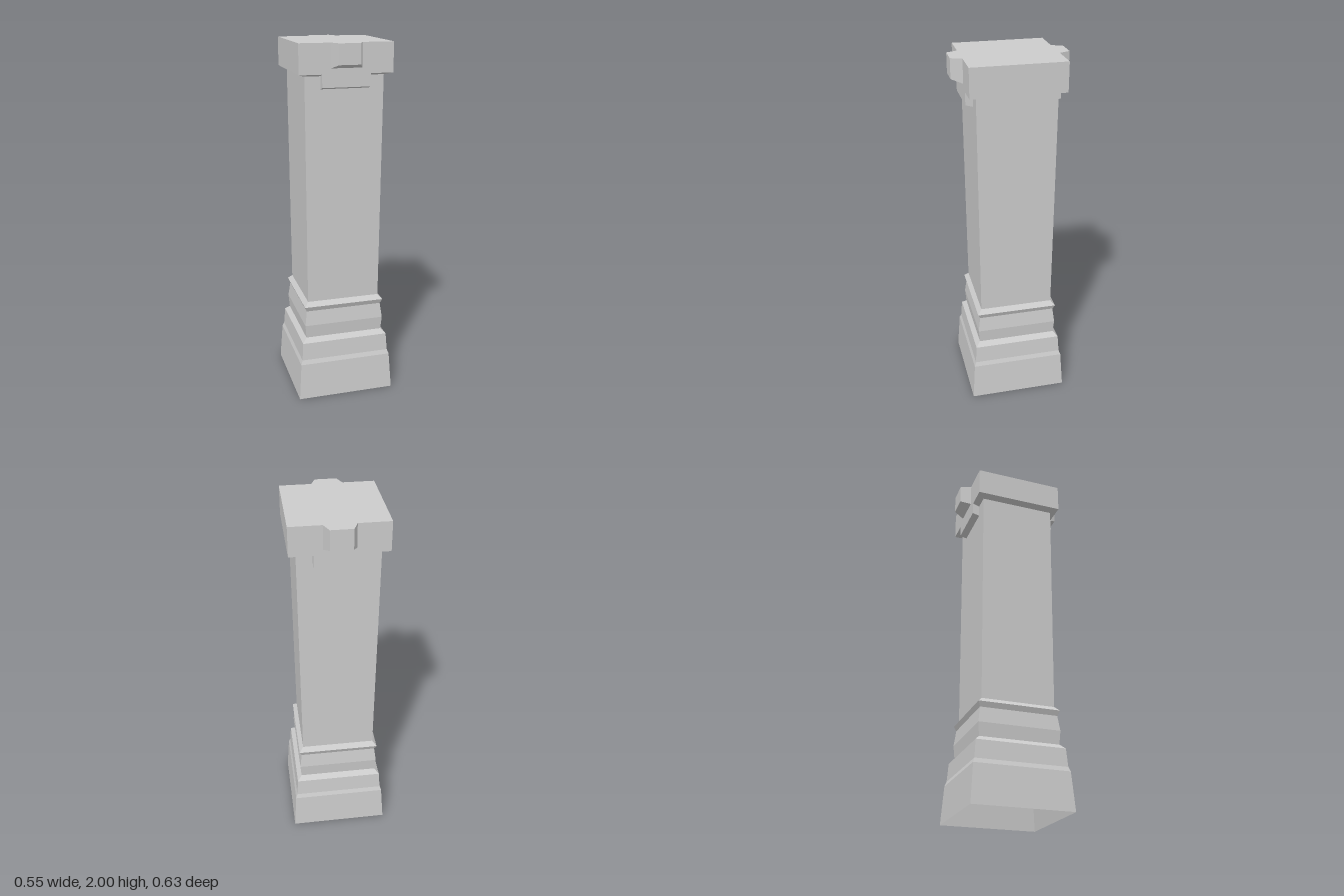
import * as THREE from 'three';

const material = new THREE.MeshStandardMaterial({ color: 0xcccccc, flatShading: true, side: THREE.DoubleSide });

function addMesh(parent, name, geometry) {
  const flat = geometry.index ? geometry.toNonIndexed() : geometry;
  flat.computeVertexNormals();
  const mesh = new THREE.Mesh(flat, material);
  mesh.name = name;
  parent.add(mesh);
  return mesh;
}

// Square shell from [half width, height] pairs, listed bottom to top
function squareShell(profile) {
  const points = profile.map(([w, y]) => new THREE.Vector2(w * Math.SQRT2, y));
  return new THREE.LatheGeometry(points, 4, Math.PI / 4);
}

// Block standing out along +z, tapering from its inner to its outer end; the inner end is open
function taperedBlock(inner, outer, openTop) {
  const geometry = new THREE.BoxGeometry(2, 1, 1);
  const p = geometry.attributes.position;
  for (let i = 0; i < p.count; i++) {
    const end = p.getZ(i) > 0 ? outer : inner;
    p.setXYZ(i, p.getX(i) * end.halfWidth, p.getY(i) > 0 ? end.top : end.bottom, end.z);
  }
  // Face order is +x, -x, +y, -y, +z, -z, six indices each
  const index = Array.from(geometry.index.array)
    .filter((_, i) => i < 30 && !(openTop && i >= 12 && i < 18));
  geometry.setIndex(index);
  return geometry;
}

export function createModel() {
  const pillar = new THREE.Group();
  pillar.name = 'pillar';

  // Stepped plinth, open underneath
  addMesh(pillar, 'plinth', squareShell([
    [0.277, 0], [0.263, 0.21], [0.254, 0.235], [0.247, 0.335], [0.222, 0.36],
  ]));

  // Waisted moulding between plinth and shaft
  addMesh(pillar, 'moulding', squareShell([
    [0.222, 0.36], [0.228, 0.435], [0.217, 0.52], [0.229, 0.548], [0.206, 0.573],
  ]));

  // Shaft widening slightly upwards
  addMesh(pillar, 'shaft', squareShell([[0.206, 0.573], [0.214, 1.83]]));

  // Square capital with a bevelled underside
  addMesh(pillar, 'capital', squareShell([[0.214, 1.83], [0.253, 1.842], [0.253, 2]]));
  const top = new THREE.PlaneGeometry(0.506, 0.506).rotateX(-Math.PI / 2).translate(0, 2, 0);
  addMesh(pillar, 'capitalTop', top);

  // Key block and hanging plate on the front and the back
  for (const [side, angle] of [['front', 0], ['back', Math.PI]]) {
    const ornament = new THREE.Group();
    ornament.name = side + 'Ornament';
    ornament.rotation.y = angle;
    addMesh(ornament, 'keyBlock', taperedBlock(
      { halfWidth: 0.083, bottom: 1.872, top: 2, z: 0.253 },
      { halfWidth: 0.058, bottom: 1.893, top: 2, z: 0.313 }, false));
    addMesh(ornament, 'hangingPlate', taperedBlock(
      { halfWidth: 0.13, bottom: 1.763, top: 1.83, z: 0.2135 },
      { halfWidth: 0.13, bottom: 1.774, top: 1.842, z: 0.253 }, true));
    pillar.add(ornament);
  }
  return pillar;
}
